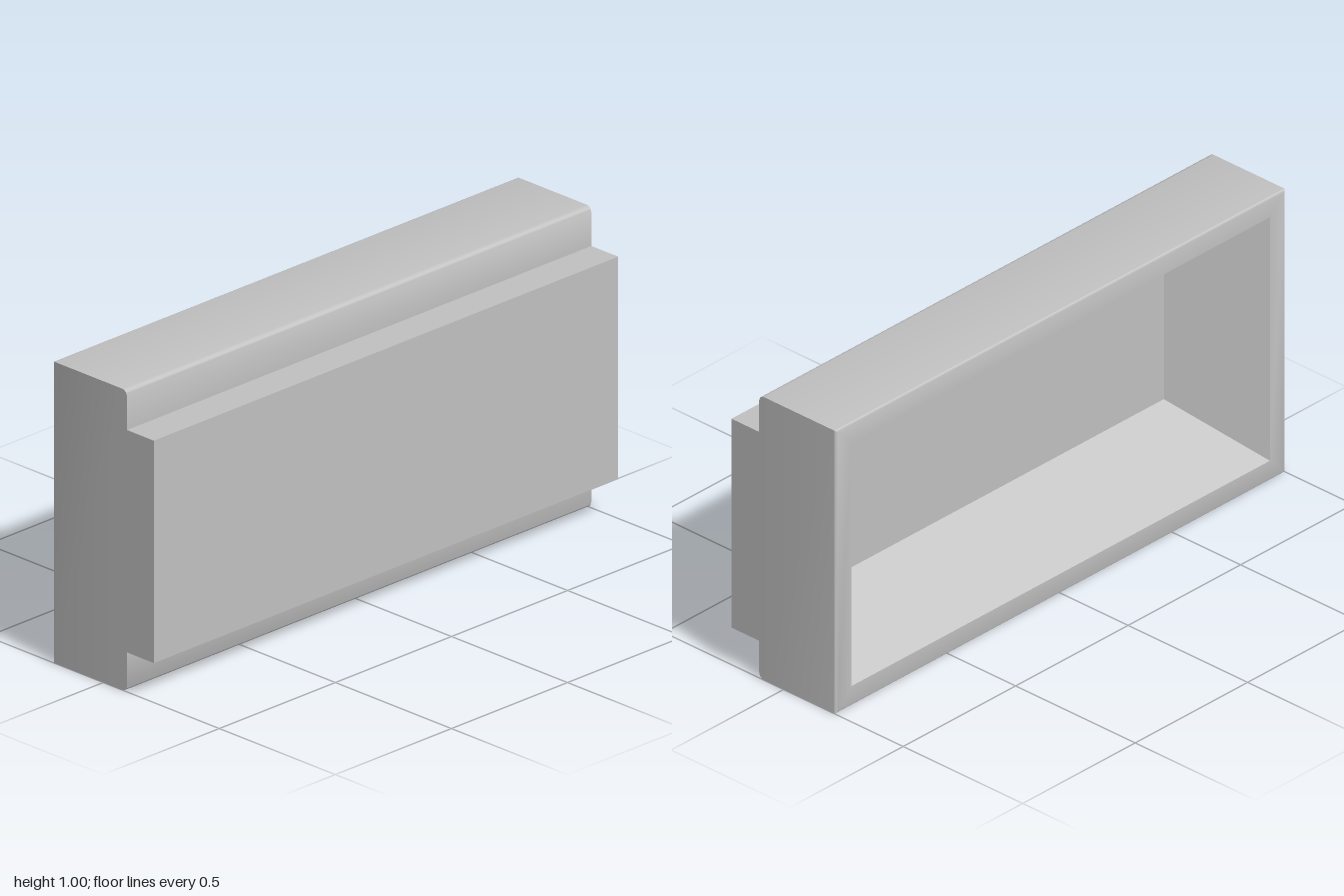
import * as THREE from 'three';
import { toCreasedNormals } from 'three/addons/utils/BufferGeometryUtils.js';

const MID = 0.5; // height of the centre line

// Skin through rectangular rings [halfWidth, halfHeight, z], ordered front to back
function ringSkin(rings) {
  const signs = [[1, 1], [-1, 1], [-1, -1], [1, -1]];
  const corner = ([w, h, z], i) =>
    new THREE.Vector3(signs[i % 4][0] * w, MID + signs[i % 4][1] * h, z);
  const pos = [];
  const addTriangle = (a, b, c) => {
    if (new THREE.Triangle(a, b, c).getArea() < 1e-7) return;
    for (const p of [a, b, c]) pos.push(p.x, p.y, p.z);
  };
  for (let r = 0; r < rings.length - 1; r++) {
    for (let i = 0; i < 4; i++) {
      const a = corner(rings[r], i), d = corner(rings[r], i + 1);
      const b = corner(rings[r + 1], i), c = corner(rings[r + 1], i + 1);
      addTriangle(a, b, c);
      addTriangle(a, c, d);
    }
  }
  const geometry = new THREE.BufferGeometry();
  geometry.setAttribute('position', new THREE.Float32BufferAttribute(pos, 3));
  return toCreasedNormals(geometry, 0.6);
}

export function createModel() {
  const group = new THREE.Group();
  const grey = new THREE.MeshStandardMaterial({ color: 0xc0c0c0 });
  grey.name = 'light grey';

  const add = (name, rings) => {
    const mesh = new THREE.Mesh(ringSkin(rings), grey);
    mesh.name = name;
    group.add(mesh);
  };

  const front = 0.218, step = 0.102, back = -0.218;
  const panelHalf = 0.369, floorZ = 0.03;
  const frontRadius = 0.02, backRadius = 0.008;
  const steps = 4;

  // Raised panel across the front
  add('frontPanel', [[1, 0, front], [1, panelHalf, front], [1, panelHalf, step]]);

  // Full-height body: rounded long front edges, softened back edges, flat rim
  const body = [[1, panelHalf, step]];
  for (let i = 0; i <= steps; i++) {
    const t = (i / steps) * Math.PI / 2;
    body.push([1, 0.5 - frontRadius * (1 - Math.sin(t)), step - frontRadius * (1 - Math.cos(t))]);
  }
  for (let i = 0; i <= steps; i++) {
    const t = (i / steps) * Math.PI / 2;
    const inset = backRadius * (1 - Math.cos(t));
    body.push([1 - inset, 0.5 - inset, back + backRadius * (1 - Math.sin(t))]);
  }
  body.push([0.93, 0.43, back]);
  add('body', body);

  // Tapered cavity open at the back
  add('cavityWalls', [[0.93, 0.43, back], [0.722, 0.223, floorZ]]);
  add('cavityFloor', [[0.722, 0.223, floorZ], [0.722, 0, floorZ]]);

  return group;
}
